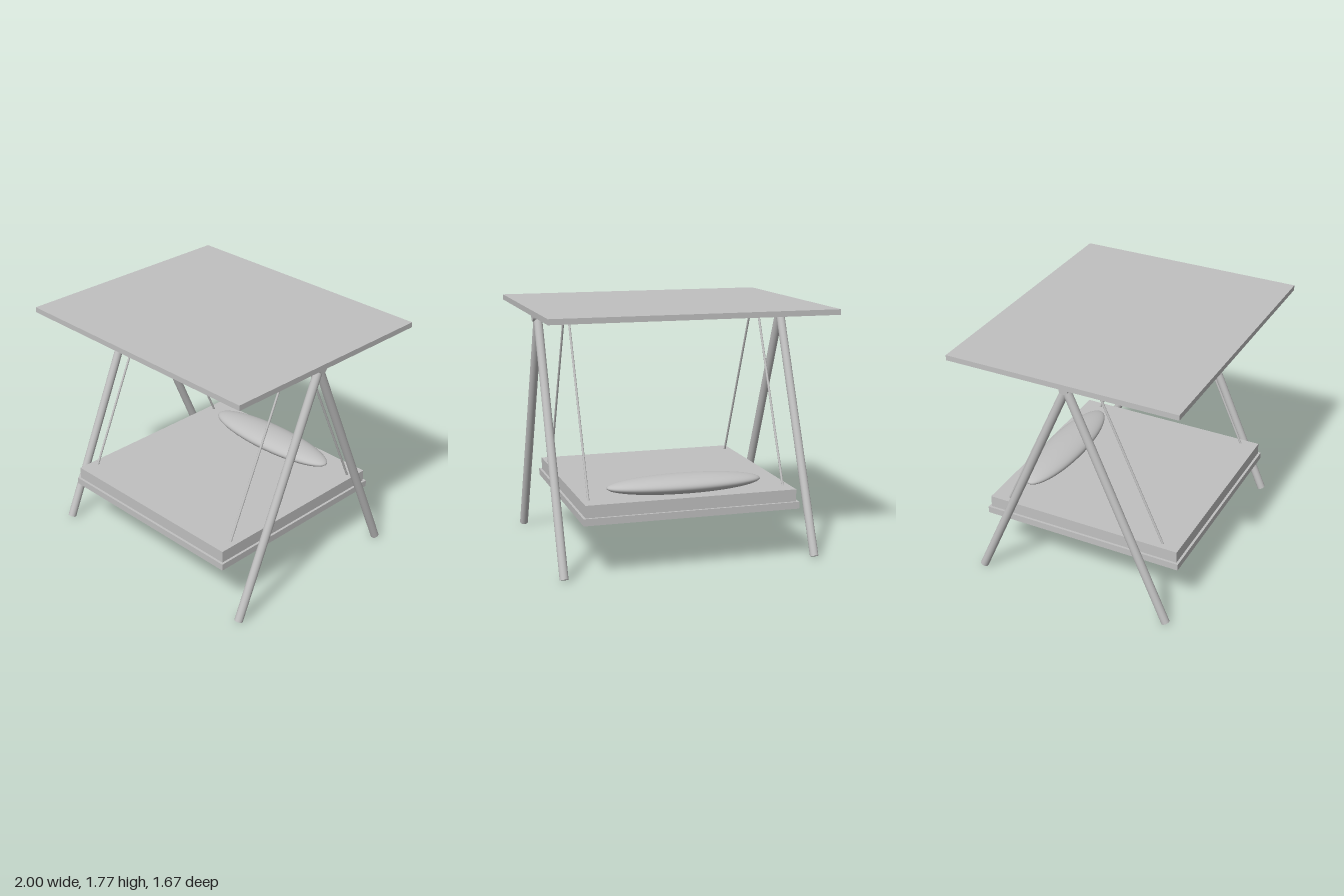
import * as THREE from 'three';

export function createModel() {
  const group = new THREE.Group();
  const grey = new THREE.MeshStandardMaterial({ color: 0xc0c0c0 });
  grey.name = 'light grey';

  const add = (name, geometry, x = 0, y = 0, z = 0) => {
    const mesh = new THREE.Mesh(geometry, grey);
    mesh.name = name;
    mesh.position.set(x, y, z);
    group.add(mesh);
    return mesh;
  };

  // Horizontal slab given by its bottom and top heights
  const slab = (name, width, depth, bottom, top) =>
    add(name, new THREE.BoxGeometry(width, top - bottom, depth), 0, (bottom + top) / 2, 0);

  // Round bar running between two points
  const bar = (name, from, to, radius, sides = 32) => {
    const a = new THREE.Vector3(...from);
    const b = new THREE.Vector3(...to);
    const mesh = add(name, new THREE.CylinderGeometry(radius, radius, a.distanceTo(b), sides));
    mesh.position.copy(a).add(b).multiplyScalar(0.5);
    mesh.quaternion.setFromUnitVectors(new THREE.Vector3(0, 1, 0), b.sub(a).normalize());
  };

  // Canopy and hanging bed
  slab('canopy', 2, 1.675, 1.727, 1.765);
  slab('bedBase', 1.535, 1.5, 0.376, 0.425);
  slab('mattress', 1.5, 1.465, 0.425, 0.511);

  // Bolster cushion lying towards the back
  const cushion = new THREE.SphereGeometry(1, 48, 32);
  cushion.scale(0.555, 0.065, 0.152);
  add('cushion', cushion, 0, 0.563, -0.53);

  // Ridge beam, splayed legs and suspension ropes
  bar('ridgeBeam', [-0.94, 1.687, 0], [0.94, 1.687, 0], 0.033);
  for (const [sx, side] of [[1, 'left'], [-1, 'right']]) {
    for (const [sz, end] of [[1, 'Front'], [-1, 'Back']]) {
      bar(side + end + 'Leg', [sx * 0.9, 0.012, sz * 0.727], [sx * 0.9, 1.675, 0], 0.03);
      bar(side + end + 'Rope', [sx * 0.7, 0.505, sz * 0.607], [sx * 0.7, 1.657, sz * 0.088], 0.008, 16);
    }
  }

  return group;
}
